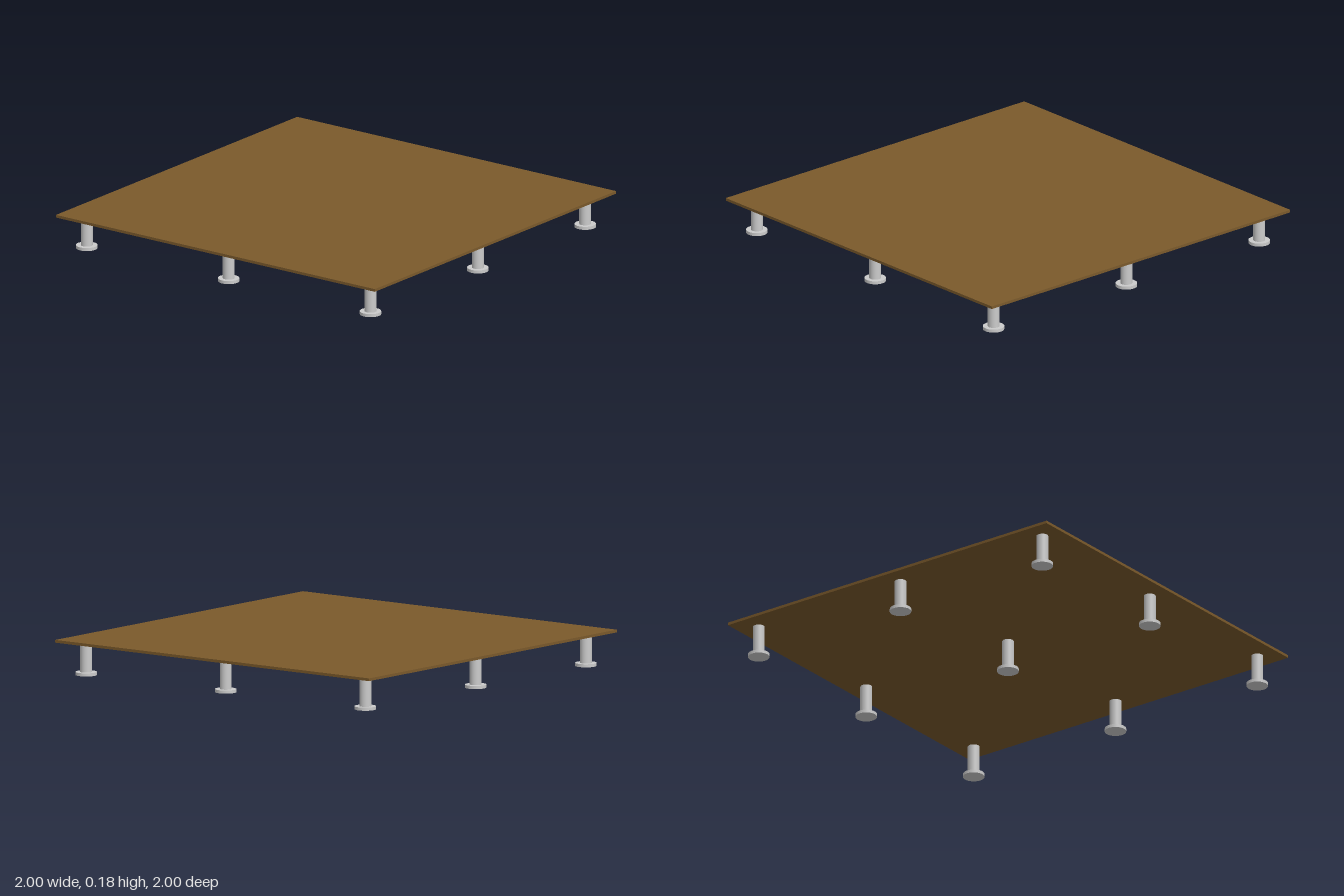
import * as THREE from 'three';

export function createModel() {
  const model = new THREE.Group();
  model.name = 'platform';
  const wood = new THREE.MeshStandardMaterial({ color: 0x7b5a2b });
  const grey = new THREE.MeshStandardMaterial({ color: 0xcccccc });

  const add = (parent, name, geometry, material, y) => {
    const mesh = new THREE.Mesh(geometry, material);
    mesh.name = name;
    mesh.position.y = y;
    parent.add(mesh);
  };

  // Thin square deck
  add(model, 'deck', new THREE.BoxGeometry(2, 0.014, 2), wood, 0.173);

  // Three by three grid of round legs on disc feet
  const post = new THREE.CylinderGeometry(0.03, 0.03, 0.152, 32);
  const foot = new THREE.CylinderGeometry(0.054, 0.054, 0.016, 32);
  for (const x of [-0.89, 0, 0.89]) {
    for (const z of [-0.89, 0, 0.89]) {
      const leg = new THREE.Group();
      leg.name = 'leg';
      leg.position.set(x, 0, z);
      add(leg, 'post', post, grey, 0.091);
      add(leg, 'foot', foot, grey, 0.008);
      model.add(leg);
    }
  }
  return model;
}
